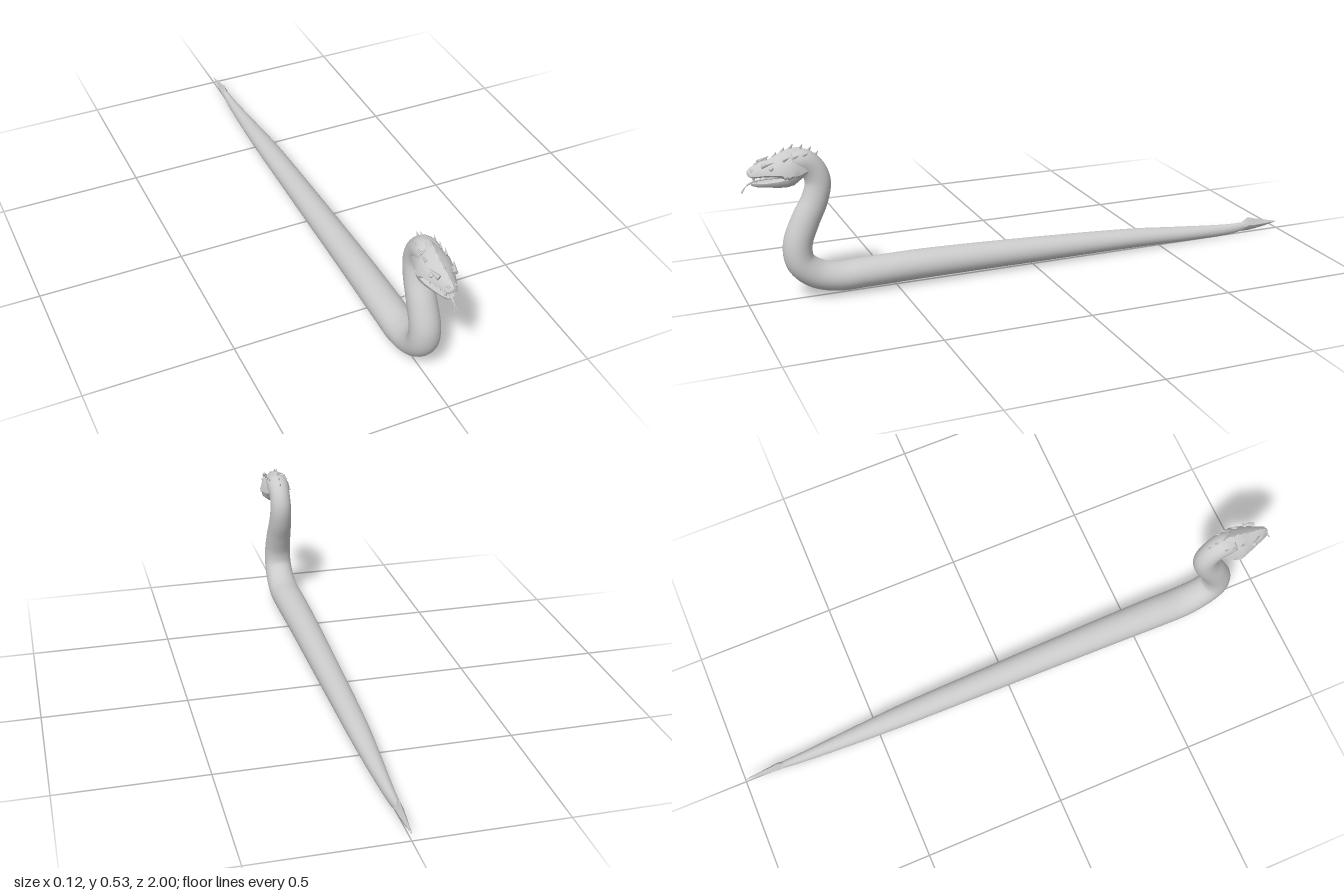
import * as THREE from 'three';
import { toCreasedNormals } from 'three/addons/utils/BufferGeometryUtils.js';

const grey = new THREE.MeshStandardMaterial({ color: 0xcccccc, side: THREE.DoubleSide });
const V = (x, y, z) => new THREE.Vector3(x, y, z);

function add(parent, name, geometry) {
  const mesh = new THREE.Mesh(geometry, grey);
  mesh.name = name;
  parent.add(mesh);
  return mesh;
}

// Skin a list of equal-sized rings, closing both ends to a point
function loft(rings) {
  const n = rings[0].length;
  const closed = (ring) => {
    const c = V(0, 0, 0);
    ring.forEach((p) => c.addScaledVector(p, 1 / n));
    return ring.map(() => c);
  };
  const all = [closed(rings[0]), ...rings, closed(rings[rings.length - 1])];
  const index = [];
  for (let i = 0; i < all.length - 1; i++) {
    for (let j = 0; j < n; j++) {
      const a = i * n + j, b = i * n + (j + 1) % n;
      index.push(a, b, a + n, b, b + n, a + n);
    }
  }
  const g = new THREE.BufferGeometry().setFromPoints(all.flat());
  g.setIndex(index);
  g.computeVertexNormals();
  return g;
}

// Body stations: z, y, half thickness, half width
function bodyGeometry() {
  const stations = [
    [-0.87, 0.03, 0.014, 0.011], [-0.8, 0.024, 0.019, 0.016], [-0.6, 0.032, 0.027, 0.029],
    [-0.4, 0.044, 0.034, 0.039], [0, 0.056, 0.044, 0.047], [0.4, 0.064, 0.05, 0.054],
    [0.6, 0.063, 0.05, 0.057], [0.7, 0.063, 0.049, 0.057], [0.775, 0.085, 0.049, 0.054],
    [0.822, 0.13, 0.048, 0.052], [0.829, 0.19, 0.048, 0.05], [0.8, 0.27, 0.047, 0.047],
    [0.765, 0.34, 0.044, 0.043], [0.752, 0.4, 0.042, 0.04], [0.767, 0.443, 0.041, 0.039],
    [0.8, 0.472, 0.041, 0.041], [0.84, 0.475, 0.035, 0.04],
  ];
  const path = new THREE.CatmullRomCurve3(stations.map(([z, y]) => V(0, y, z)));
  const size = new THREE.CatmullRomCurve3(stations.map((s) => V(s[3], s[2], 0)));
  const rings = [], steps = 112, sides = 28;
  for (let i = 0; i <= steps; i++) {
    const c = path.getPoint(i / steps), r = size.getPoint(i / steps), t = path.getTangent(i / steps);
    const ring = [];
    for (let j = 0; j < sides; j++) {
      const a = (j / sides) * Math.PI * 2, up = Math.sin(a) * r.y;
      ring.push(V(Math.cos(a) * r.x, c.y + t.z * up, c.z - t.y * up));
    }
    rings.push(ring);
  }
  return loft(rings);
}

// Mirrored half profile (width, height fractions) placed at stations z, bottom, top, half width
function profileLoft(half, stations, crease = 0.6) {
  const mirror = half.slice(1, -1).reverse().map(([u, v]) => [-u, v]);
  const profile = [...half, ...mirror];
  const rings = stations.map(([z, lo, hi, w]) => profile.map(([u, v]) => V(u * w, lo + (hi - lo) * v, z)));
  return toCreasedNormals(loft(rings), crease);
}

// Cone standing on a point and leaning along a direction
function spike(parent, name, base, dir, radius, length, flat = 1) {
  const g = new THREE.ConeGeometry(radius, length, 6);
  g.translate(0, length / 2, 0);
  g.scale(flat, 1, 1);
  const m = add(parent, name, g);
  m.position.copy(base);
  m.quaternion.setFromUnitVectors(V(0, 1, 0), dir.normalize());
  return m;
}

export function createModel() {
  const model = new THREE.Group();
  model.name = 'serpent';
  add(model, 'body', bodyGeometry());

  // Spade-shaped tail tip
  const diamond = [[0, 0], [0.7, 0.2], [1, 0.45], [0.45, 0.75], [0, 1]];
  add(model, 'tailBarb', profileLoft(diamond, [
    [-0.997, 0.028, 0.03, 0.001], [-0.95, 0.018, 0.041, 0.006], [-0.9, 0.011, 0.053, 0.011],
    [-0.875, 0.009, 0.061, 0.013], [-0.85, 0.009, 0.046, 0.013],
  ]));

  const head = new THREE.Group();
  head.name = 'head';
  model.add(head);

  // Skull with a peaked roof
  const skull = [[0, 0.08], [0.8, 0], [1, 0.14], [0.9, 0.42], [0.66, 0.66], [0.3, 0.88], [0, 1]];
  add(head, 'skull', profileLoft(skull, [
    [0.785, 0.438, 0.51, 0.036], [0.82, 0.425, 0.522, 0.048], [0.855, 0.425, 0.516, 0.06],
    [0.88, 0.437, 0.505, 0.053], [0.905, 0.441, 0.492, 0.045], [0.93, 0.44, 0.486, 0.034],
    [0.953, 0.438, 0.478, 0.025], [0.97, 0.439, 0.468, 0.017], [0.977, 0.446, 0.46, 0.008],
  ], 0.75));

  // Lower jaw
  const jaw = [[0, 0], [0.6, 0.05], [0.95, 0.5], [1, 0.9], [0.8, 1], [0, 0.75]];
  add(head, 'lowerJaw', profileLoft(jaw, [
    [0.805, 0.42, 0.45, 0.035], [0.835, 0.402, 0.44, 0.05], [0.86, 0.398, 0.434, 0.053],
    [0.89, 0.399, 0.427, 0.044], [0.92, 0.403, 0.422, 0.033], [0.95, 0.405, 0.42, 0.021],
    [0.967, 0.41, 0.419, 0.01],
  ], 0.75));

  for (const s of [1, -1]) {
    // Eyes under heavy brows
    const eye = add(head, 'eye', new THREE.SphereGeometry(0.0075, 14, 10));
    eye.position.set(s * 0.037, 0.468, 0.907);
    spike(head, 'brow', V(s * 0.026, 0.476, 0.935), V(s * 0.4, 0.34, -1), 0.009, 0.045);
    const nostril = add(head, 'nostril', new THREE.TorusGeometry(0.004, 0.0016, 6, 12));
    nostril.position.set(s * 0.012, 0.462, 0.966);
    nostril.rotation.set(-0.5, s * 0.7, 0);
    // Cheek horn and swept side scales
    spike(head, 'cheekHorn', V(s * 0.047, 0.44, 0.868), V(s * 0.35, 0.05, -1), 0.012, 0.038);
    for (let i = 0; i < 3; i++) {
      spike(head, 'sideScale', V(s * (0.033 - i * 0.002), 0.488 + i * 0.003, 0.868 - i * 0.03),
        V(s * 0.35, 0.55, -1), 0.008, 0.026, 0.6);
    }
    // Fangs and smaller teeth
    spike(head, 'upperFang', V(s * 0.012, 0.442, 0.961), V(0, -1, -0.15), 0.0035, 0.024);
    spike(head, 'lowerFang', V(s * 0.014, 0.416, 0.953), V(0, 1, -0.1), 0.003, 0.016);
    for (let i = 0; i < 3; i++) {
      spike(head, 'tooth', V(s * (0.023 + i * 0.007), 0.443, 0.942 - i * 0.018), V(0, -1, -0.1), 0.0025, 0.011);
    }
    // Forked tongue tip
    const fork = new THREE.CatmullRomCurve3([
      V(0, 0.412, 0.98), V(s * 0.002, 0.404, 0.988), V(s * 0.005, 0.395, 0.994), V(s * 0.006, 0.388, 0.999)]);
    add(head, 'tongueFork', new THREE.TubeGeometry(fork, 8, 0.0013, 6));
  }
  const tongue = new THREE.CatmullRomCurve3([
    V(0, 0.425, 0.87), V(0, 0.426, 0.92), V(0, 0.422, 0.96), V(0, 0.412, 0.981)]);
  add(head, 'tongue', new THREE.TubeGeometry(tongue, 14, 0.0032, 8));

  // Crest of spikes running back over the skull and neck: z, y, length
  const crest = [
    [0.95, 0.474, 0.014], [0.918, 0.483, 0.016], [0.89, 0.494, 0.019], [0.865, 0.506, 0.022],
    [0.84, 0.512, 0.026], [0.81, 0.508, 0.026], [0.782, 0.5, 0.024], [0.76, 0.484, 0.022],
  ];
  crest.forEach(([z, y, len], i) => {
    spike(head, 'crestSpike', V(0, y, z), V(0, 1, -0.35 - i * 0.07), 0.009, len, 0.55);
  });
  return model;
}
